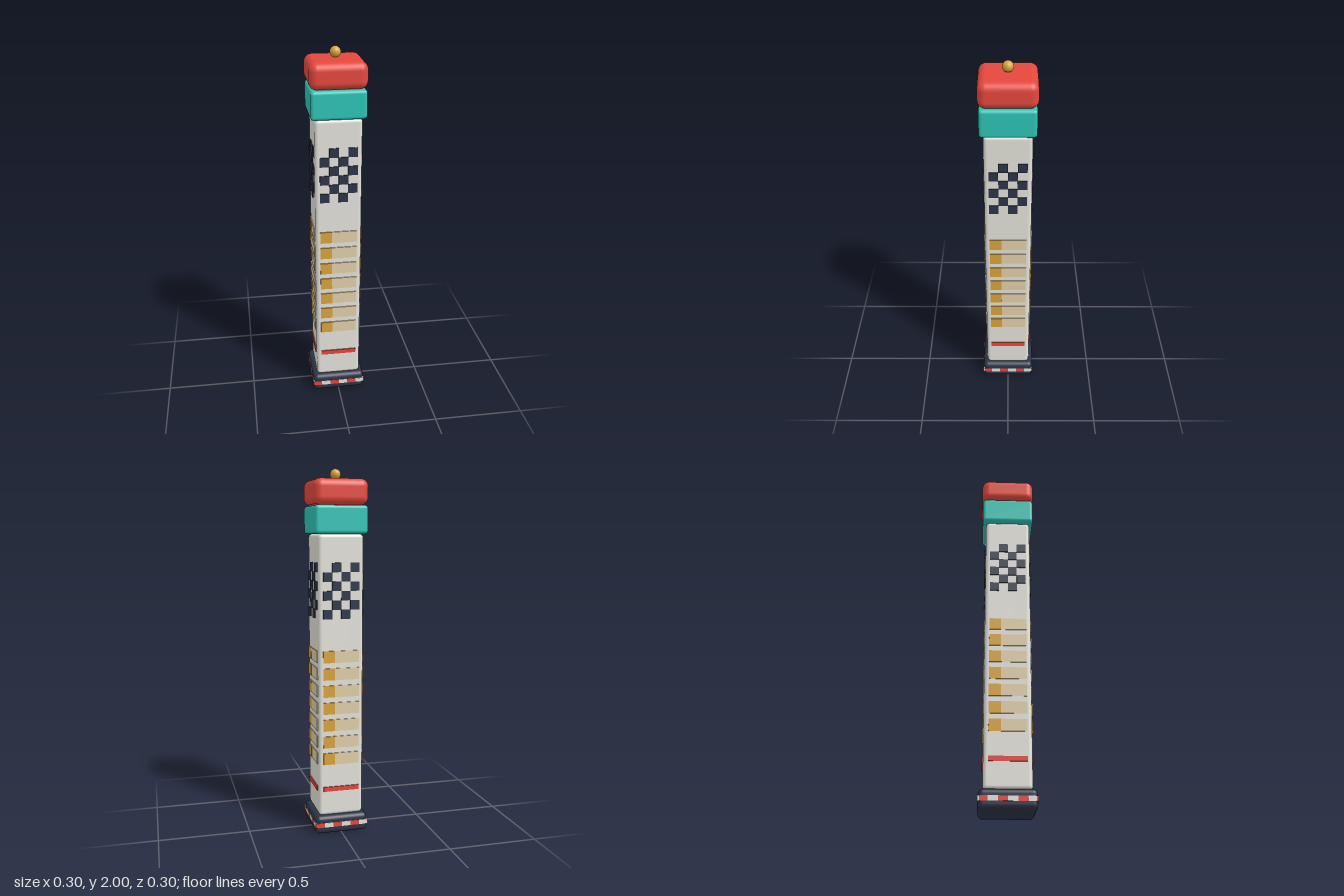
import * as THREE from 'three';
import { RoundedBoxGeometry } from 'three/addons/geometries/RoundedBoxGeometry.js';

const mat = (name, color) => {
  const m = new THREE.MeshStandardMaterial({ color });
  m.name = name;
  return m;
};

export function createModel() {
  const white = mat('warm white', 0xe5e4dc);
  const navy = mat('navy', 0x2d3548);
  const red = mat('red', 0xe5483d);
  const teal = mat('teal', 0x2ec4b6);
  const gold = mat('gold', 0xdba53c);
  const tan = mat('tan', 0xe2d0aa);

  const model = new THREE.Group();
  model.name = 'tower';

  const add = (parent, name, geometry, material, x, y, z) => {
    const mesh = new THREE.Mesh(geometry, material);
    mesh.name = name;
    mesh.position.set(x, y, z);
    parent.add(mesh);
    return mesh;
  };

  // Stacked rounded blocks: name, material, half width, bottom, top, corner radius
  const blocks = [
    ['base', navy, 0.148, 0, 0.103, 0.026],
    ['shaft', white, 0.125, 0.1, 1.655, 0.02],
    ['collar', teal, 0.145, 1.655, 1.805, 0.018],
    ['cap', red, 0.15, 1.805, 1.943, 0.042],
  ];
  for (const [name, material, half, y0, y1, r] of blocks) {
    add(model, name, new RoundedBoxGeometry(half * 2, y1 - y0, half * 2, 5, r),
      material, 0, (y0 + y1) / 2, 0);
  }
  add(model, 'finial', new THREE.SphereGeometry(0.029, 24, 16), gold, 0, 1.971, 0);

  // The same painted plates on each of the four sides
  for (let side = 0; side < 4; side++) {
    const face = new THREE.Group();
    face.name = 'side' + (side + 1);
    face.rotation.y = side * Math.PI / 2;
    model.add(face);

    // A plate between x0 and x1 whose outer face lies at the given depth
    const plate = (name, material, x0, x1, y, h, front, t = 0.009) =>
      add(face, name, new THREE.BoxGeometry(x1 - x0, h, t), material,
        (x0 + x1) / 2, y, front - t / 2);

    // Checkerboard
    for (let row = 0; row < 6; row++) {
      for (let col = 0; col < 4; col++) {
        if ((row + col) % 2 === 0) continue;
        const x = -0.1 + col * 0.05;
        plate('checker', navy, x, x + 0.05, 1.479 - row * 0.05, 0.05, 0.131);
      }
    }

    // Window bands with a gold pane at one end
    for (let i = 0; i < 7; i++) {
      const y = 0.428 + i * 0.095;
      plate('goldPane', gold, -0.1, -0.036, y, 0.065, 0.131);
      plate('tanPane', tan, -0.036, 0.1, y, 0.065, 0.13);
    }

    // Thin stripe near the foot
    plate('stripe', red, -0.1, 0.1, 0.254, 0.026, 0.131);

    // Curb band; two opposite sides are trimmed so the corners do not overlap
    const end = side % 2 ? 0.141 : 0.15;
    for (let i = 0; i < 6; i++) {
      const x0 = Math.max(-end, -0.15 + i * 0.05);
      const x1 = Math.min(end, -0.1 + i * 0.05);
      plate('curb', i % 2 ? white : red, x0, x1, 0.053, 0.026, 0.15);
    }
  }
  return model;
}
